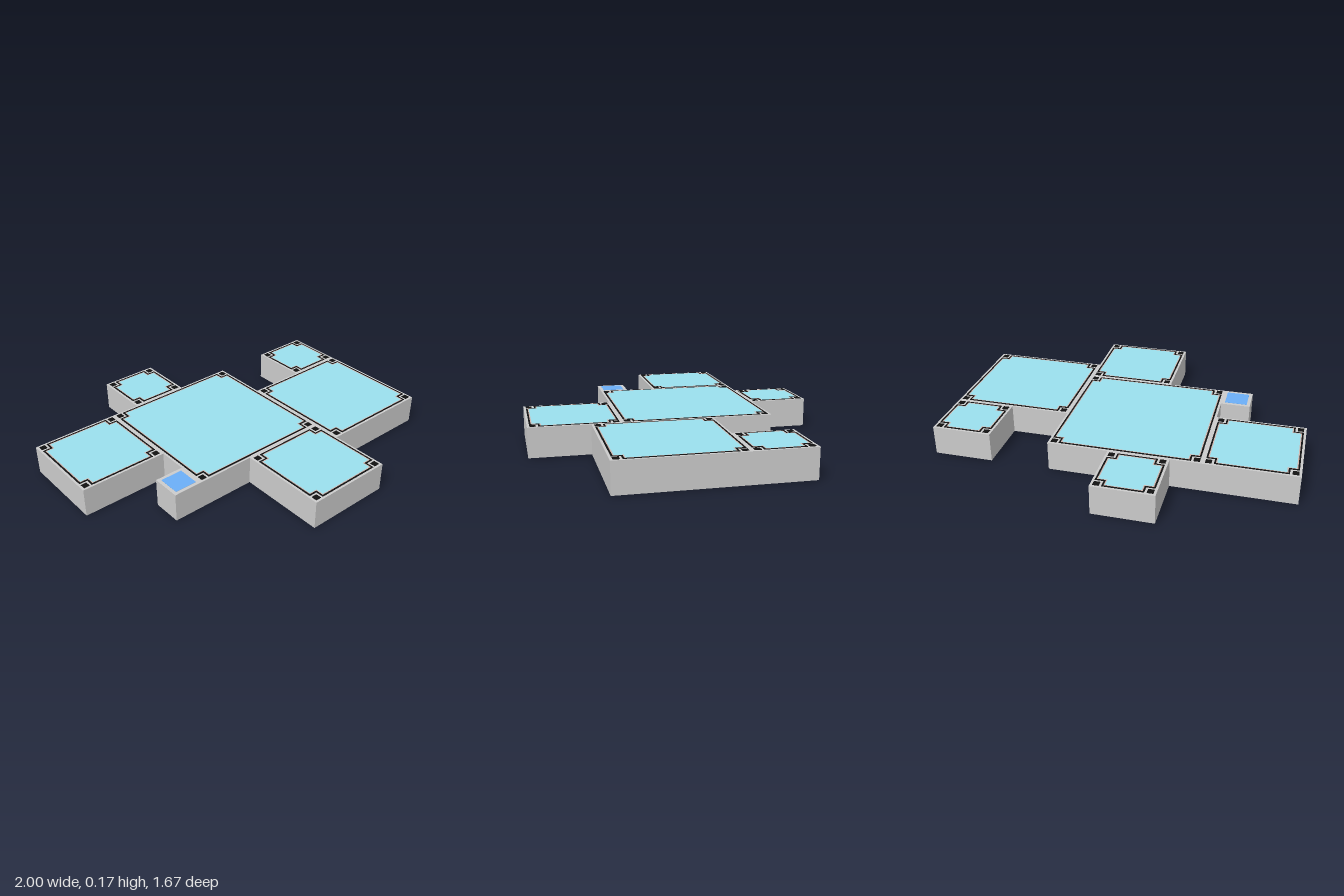
import * as THREE from 'three';

const U = 1 / 6;          // grid module
const BASE = 0.003;       // underside height, resting on the studs
const DECK = 0.168;       // deck height of the blocks

const material = (color) => new THREE.MeshStandardMaterial({ color });
const grey = material(0xcccccc);
const black = material(0x111111);
const trim = material(0xcdb5ae);
const teal = material(0x9be0ee);
const blue = material(0x6caff7);
const navy = material(0x15157a);

function add(group, name, geometry, mat, x = 0, y = 0, z = 0) {
  const mesh = new THREE.Mesh(geometry, mat);
  mesh.name = name;
  mesh.position.set(x, y, z);
  group.add(mesh);
  return mesh;
}

// Square outline of half size h with a square notch n cut from each corner
function notched(h, n, Type = THREE.Shape) {
  const k = h - n;
  const points = [
    [k, -h], [k, -k], [h, -k], [h, k], [k, k], [k, h],
    [-k, h], [-k, k], [-h, k], [-h, -k], [-k, -k], [-k, -h],
  ];
  return new Type(points.map(([x, y]) => new THREE.Vector2(x, y)));
}

// Thin plate lying on the deck, optionally hollow
function plate(outer, hole, thickness) {
  if (hole) outer.holes.push(hole);
  const geometry = new THREE.ExtrudeGeometry(outer, { depth: thickness, bevelEnabled: false });
  return geometry.rotateX(-Math.PI / 2);
}

function corners(offset, place) {
  for (const sx of [-1, 1]) for (const sz of [-1, 1]) place(sx * offset, sz * offset);
}

function createBlock(name, size, x, z) {
  const group = new THREE.Group();
  group.name = name;
  group.position.set(x, 0, z);
  add(group, 'block', new THREE.BoxGeometry(size, DECK - BASE, size), grey, 0, (DECK + BASE) / 2, 0);
  return group;
}

// Block with a notched panel, dark outline and corner pads
function createPlatform(name, size, x, z, studs) {
  const group = createBlock(name, size, x, z);
  const h = size / 2;
  add(group, 'outline', plate(notched(h - 0.013, 0.046), notched(h - 0.022, 0.046, THREE.Path), 0.002), black, 0, DECK, 0);
  add(group, 'innerTrim', plate(notched(h - 0.022, 0.046), notched(h - 0.028, 0.046, THREE.Path), 0.0015), trim, 0, DECK, 0);
  add(group, 'panel', plate(notched(h - 0.028, 0.046), null, 0.0015), teal, 0, DECK, 0);
  corners(h - 0.03, (px, pz) =>
    add(group, 'cornerPad', new THREE.BoxGeometry(0.033, 0.002, 0.033), black, px, DECK + 0.001, pz));
  // Small studs under the corner modules
  if (studs) corners(h - U / 2, (px, pz) =>
    add(group, 'stud', new THREE.CylinderGeometry(0.005, 0.005, 0.004, 12), navy, px, 0.002, pz));
  return group;
}

export function createModel() {
  const model = new THREE.Group();
  model.name = 'platformCluster';

  // name, size in modules, centre x and z in modules, studs underneath
  const platforms = [
    ['mainPlatform', 5, -0.5, -0.5, false],
    ['rightPlatform', 3, -4.5, -1.5, true],
    ['backPlatform', 2, -1, -4, true],
    ['leftPlatform', 4, 4, 1, true],
    ['leftBackPlatform', 2, 5, -2, true],
    ['frontPlatform', 3, 0.5, 3.5, true],
  ];
  for (const [name, size, x, z, studs] of platforms) {
    model.add(createPlatform(name, size * U, x * U, z * U, studs));
  }

  // Small single-module block with a plain blue panel
  const small = createBlock('smallBlock', U, -3.5 * U, 1.5 * U);
  add(small, 'bluePanel', new THREE.BoxGeometry(0.127, 0.0015, 0.127), blue, 0, DECK + 0.00075, 0);
  model.add(small);
  return model;
}
